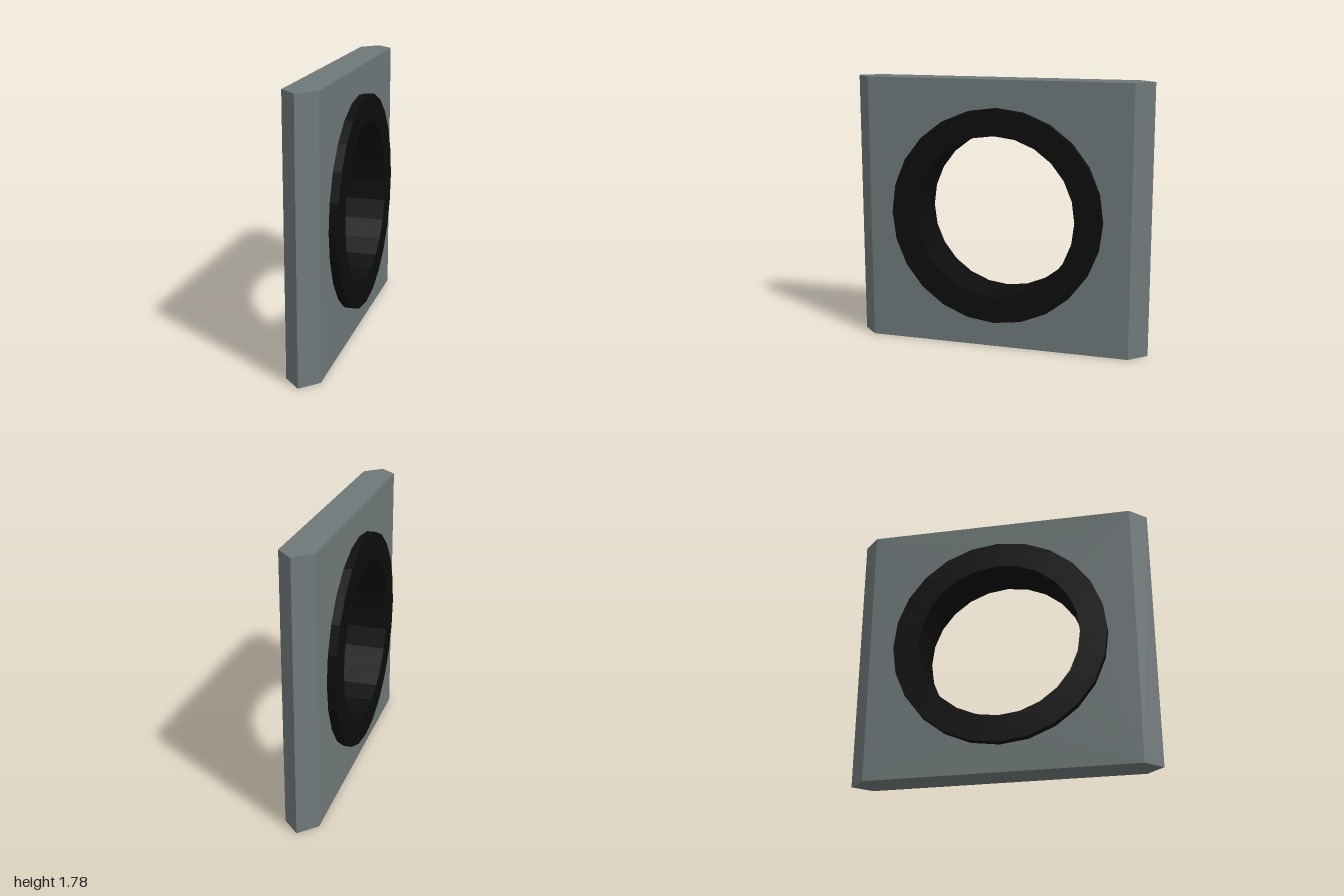
import * as THREE from 'three';

const HEIGHT = 1.78, HALF = 0.11, SHOULDER = 0.89, SIDES = 24;

// Square plate with a round opening; its front and back edges come to a ridge
function plateGeometry() {
  const shape = new THREE.Shape([
    new THREE.Vector2(-1, 0), new THREE.Vector2(1, 0),
    new THREE.Vector2(1, HEIGHT), new THREE.Vector2(-1, HEIGHT),
  ]);
  const hole = new THREE.Path();
  hole.absarc(0, HEIGHT / 2, 0.62, 0, Math.PI * 2, true);
  shape.holes.push(hole);
  const geo = new THREE.ExtrudeGeometry(shape, {
    depth: 2 * HALF, steps: 2, bevelEnabled: false, curveSegments: SIDES,
  });
  geo.translate(0, 0, -HALF);

  // Pull the outer corners in, leaving the middle row as the ridge
  const pos = geo.attributes.position;
  for (let i = 0; i < pos.count; i++) {
    const x = pos.getX(i);
    if (Math.abs(x) > 0.99 && Math.abs(pos.getZ(i)) > 0.01) pos.setX(i, Math.sign(x) * SHOULDER);
  }
  geo.rotateY(Math.PI / 2);
  geo.computeVertexNormals();
  return geo;
}

// Ring lining the opening and standing proud on both sides
function ringGeometry(inner, outer, half) {
  const profile = [
    [inner, -half], [outer, -half], [outer, half], [inner, half], [inner, -half],
  ].map(([r, y]) => new THREE.Vector2(r, y));
  const geo = new THREE.LatheGeometry(profile, SIDES).toNonIndexed();
  geo.rotateZ(Math.PI / 2);
  geo.computeVertexNormals();
  return geo;
}

export function createModel() {
  const grey = new THREE.MeshStandardMaterial({ color: 0x6f7879 });
  grey.name = 'slate grey';
  const black = new THREE.MeshStandardMaterial({ color: 0x0d0d0d });
  black.name = 'black';

  const plate = new THREE.Mesh(plateGeometry(), grey);
  plate.name = 'plate';

  const ring = new THREE.Mesh(ringGeometry(0.535, 0.71, 0.165), black);
  ring.name = 'ring';
  ring.position.y = HEIGHT / 2;

  const model = new THREE.Group();
  model.name = 'ringPortal';
  model.add(plate, ring);
  return model;
}
